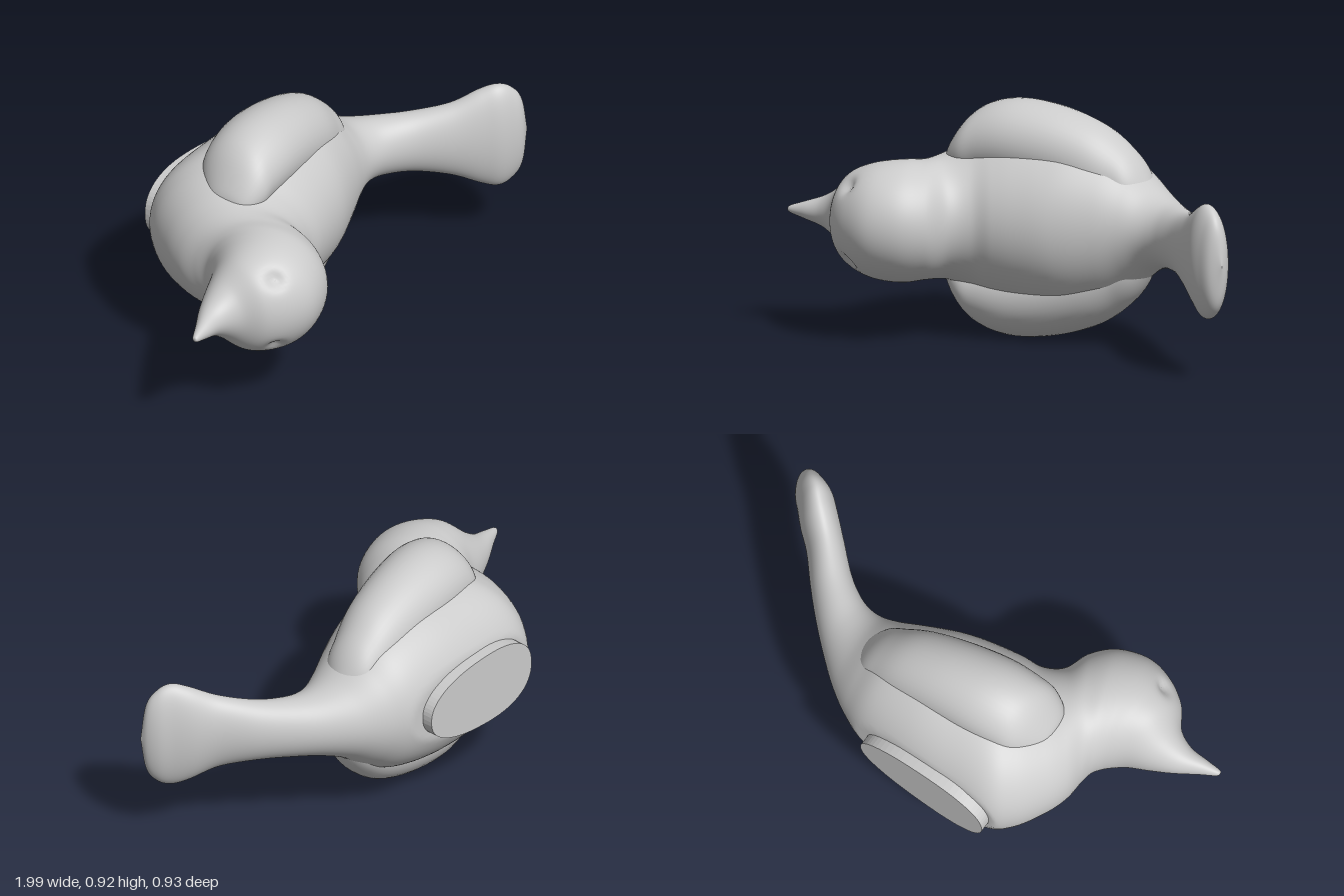
import * as THREE from 'three';

const MID = 0.46; // height of the bird's plane of symmetry
const material = new THREE.MeshStandardMaterial({ color: 0xcccccc, roughness: 0.8 });

// Smooth skin over elliptical sections. Each row: underside x, z, back x, z, half width, y offset.
function loft(rows, along, around, adjust) {
  const under = new THREE.CatmullRomCurve3(
    rows.map(r => new THREE.Vector3(r[0], r[5] ?? 0, r[1])), false, 'catmullrom', 0.5);
  const back = new THREE.CatmullRomCurve3(
    rows.map(r => new THREE.Vector3(r[2], r[4], r[3])), false, 'catmullrom', 0.5);
  const positions = [], index = [];
  for (let i = 0; i <= along; i++) {
    const a = under.getPoint(i / along), b = back.getPoint(i / along);
    for (let j = 0; j < around; j++) {
      const t = (j / around) * Math.PI * 2, c = Math.cos(t) / 2;
      const p = new THREE.Vector3(
        (a.x + b.x) / 2 + (b.x - a.x) * c,
        MID + a.y + b.y * Math.sin(t),
        (a.z + b.z) / 2 + (b.z - a.z) * c);
      if (adjust) adjust(p);
      positions.push(p.x, p.y, p.z);
      if (i < along) {
        const k = (j + 1) % around, r0 = i * around, r1 = r0 + around;
        index.push(r0 + j, r1 + j, r0 + k, r0 + k, r1 + j, r1 + k);
      }
    }
  }
  const g = new THREE.BufferGeometry();
  g.setAttribute('position', new THREE.Float32BufferAttribute(positions, 3));
  g.setIndex(index);
  g.computeVertexNormals();
  return g;
}

export function createModel() {
  const group = new THREE.Group();
  const add = (name, geometry) => {
    const mesh = new THREE.Mesh(geometry, material);
    mesh.name = name;
    group.add(mesh);
    return mesh;
  };

  const headCentre = new THREE.Vector3(-0.52, MID, 0.23);
  const eyes = [-1, 1].map(s => new THREE.Vector3(-0.65, MID + s * 0.14, 0.36));

  // Beak, head, breast, body and tail in one skin, with dented eye sockets and a flat underside
  const body = [
    [-1.0, 0.25, -1.0, 0.25, 0],
    [-0.99, 0.235, -0.99, 0.262, 0.014],
    [-0.93, 0.2, -0.93, 0.265, 0.035],
    [-0.85, 0.15, -0.85, 0.27, 0.065],
    [-0.77, 0.11, -0.78, 0.305, 0.115],
    [-0.68, 0.07, -0.72, 0.385, 0.183],
    [-0.63, 0.03, -0.63, 0.44, 0.215],
    [-0.605, 0, -0.52, 0.46, 0.23],
    [-0.59, -0.03, -0.4, 0.42, 0.235],
    [-0.585, -0.08, -0.32, 0.34, 0.23],
    [-0.58, -0.16, -0.28, 0.24, 0.24],
    [-0.55, -0.25, -0.21, 0.19, 0.27],
    [-0.48, -0.37, -0.13, 0.18, 0.31],
    [-0.39, -0.435, -0.05, 0.165, 0.335],
    [-0.2, -0.45, 0.05, 0.14, 0.34],
    [0, -0.45, 0.13, 0.11, 0.33],
    [0.19, -0.43, 0.24, 0.06, 0.285],
    [0.3, -0.39, 0.33, 0.02, 0.22],
    [0.4, -0.33, 0.4, 0, 0.16],
    [0.5, -0.25, 0.46, 0, 0.13],
    [0.6, -0.16, 0.52, 0.02, 0.122],
    [0.7, -0.06, 0.6, 0.07, 0.127],
    [0.8, 0.05, 0.7, 0.16, 0.155],
    [0.88, 0.12, 0.79, 0.24, 0.205],
    [0.93, 0.17, 0.84, 0.28, 0.222],
    [0.97, 0.21, 0.89, 0.3, 0.2],
    [0.99, 0.25, 0.94, 0.308, 0.14],
    [0.99, 0.285, 0.99, 0.285, 0],
  ];
  add('body', loft(body, 216, 80, p => {
    p.z = Math.max(p.z, -0.42);
    for (const eye of eyes) {
      const depth = 0.026 * Math.exp(-((p.distanceTo(eye) / 0.032) ** 2));
      p.addScaledVector(headCentre.clone().sub(eye).normalize(), depth);
    }
  }));

  // Folded wings: x, z low, z high, half width, centre offset from the middle
  const wing = [
    [-0.45, -0.07, -0.07, 0, 0.22],
    [-0.43, -0.14, 0.03, 0.06, 0.22],
    [-0.36, -0.22, 0.075, 0.125, 0.26],
    [-0.28, -0.25, 0.075, 0.15, 0.29],
    [-0.16, -0.27, 0.065, 0.16, 0.3],
    [0, -0.28, 0.035, 0.16, 0.28],
    [0.15, -0.285, 0, 0.155, 0.235],
    [0.25, -0.28, -0.035, 0.14, 0.185],
    [0.33, -0.26, -0.07, 0.1, 0.14],
    [0.4, -0.17, -0.17, 0, 0.1],
  ];
  for (const [s, name] of [[1, 'upperWing'], [-1, 'lowerWing']]) {
    add(name, loft(wing.map(([x, lo, hi, w, off]) => [x, lo, x, hi, w, s * off]), 64, 40));
  }

  // Eyeballs in the sockets
  eyes.forEach((eye, i) => {
    const ball = add(i ? 'upperEye' : 'lowerEye', new THREE.SphereGeometry(0.02, 20, 14));
    ball.position.copy(eye).lerp(headCentre, 0.11);
  });

  // Oval mounting plate, a little narrower towards the tail
  const outline = [];
  for (let i = 0; i < 64; i++) {
    const t = (i / 64) * Math.PI * 2, c = Math.cos(t), s = Math.sin(t);
    const x = Math.sign(c) * Math.abs(c) ** 0.85;
    const y = Math.sign(s) * Math.abs(s) ** 0.85;
    outline.push(new THREE.Vector2(-0.115 + 0.285 * x, MID + 0.15 * y * (1 - 0.1 * x)));
  }
  const plate = add('basePlate', new THREE.ExtrudeGeometry(
    new THREE.Shape(outline), { depth: 0.06, bevelEnabled: false }));
  plate.position.z = -0.465;

  return group;
}
